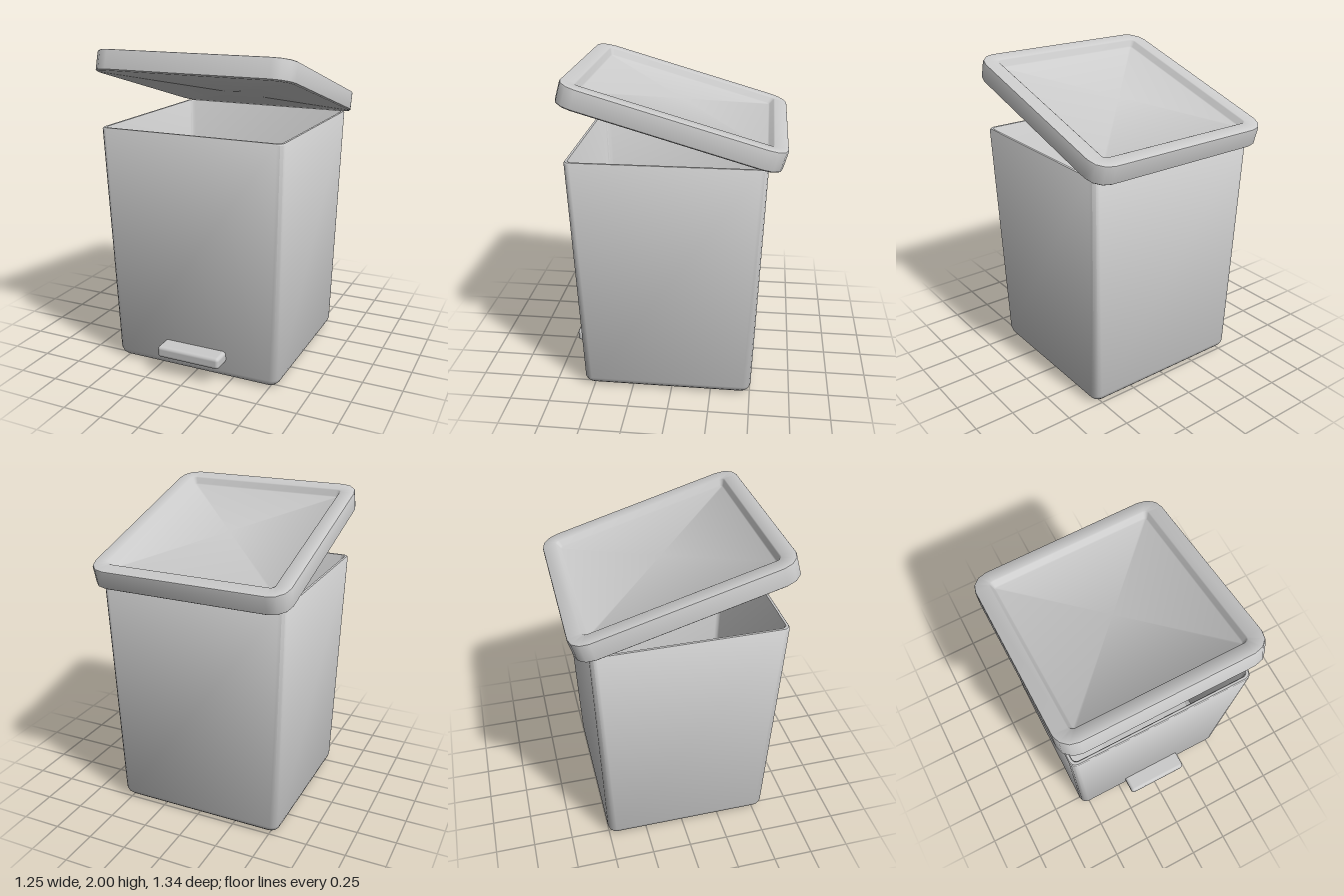
import * as THREE from 'three';
import { toCreasedNormals } from 'three/addons/utils/BufferGeometryUtils.js';
import { RoundedBoxGeometry } from 'three/addons/geometries/RoundedBoxGeometry.js';

const grey = new THREE.MeshStandardMaterial({ color: 0xcccccc });
const CORNER_STEPS = 3;

// Outline of a rounded rectangle at height y: half width, half depth, corner radius
function ring([y, hx, hz, r]) {
  const pts = [];
  const corners = [[1, 1], [-1, 1], [-1, -1], [1, -1]];
  corners.forEach(([sx, sz], q) => {
    for (let i = 0; i <= CORNER_STEPS; i++) {
      const a = (q + i / CORNER_STEPS) * Math.PI / 2;
      pts.push(new THREE.Vector3(
        sx * (hx - r) + r * Math.cos(a), y, sz * (hz - r) + r * Math.sin(a)));
    }
  });
  return pts;
}

// Skin through rounded-rectangle sections, closed to a point at both ends
function loft(sections, crease) {
  const first = sections[0], last = sections[sections.length - 1];
  const rings = [[first[0], 0, 0, 0], ...sections, [last[0], 0, 0, 0]].map(ring);
  const pos = [];
  const tri = (a, b, c) => {
    const area = b.clone().sub(a).cross(c.clone().sub(a)).length();
    if (area > 1e-9) for (const p of [a, b, c]) pos.push(p.x, p.y, p.z);
  };
  for (let i = 0; i < rings.length - 1; i++) {
    const lo = rings[i], hi = rings[i + 1], n = lo.length;
    for (let j = 0; j < n; j++) {
      const k = (j + 1) % n;
      tri(lo[j], hi[j], lo[k]);
      tri(lo[k], hi[j], hi[k]);
    }
  }
  const geo = new THREE.BufferGeometry();
  geo.setAttribute('position', new THREE.Float32BufferAttribute(pos, 3));
  return toCreasedNormals(geo, crease);
}

function add(group, name, geometry, x, y, z) {
  const mesh = new THREE.Mesh(geometry, grey);
  mesh.name = name;
  mesh.position.set(x, y, z);
  group.add(mesh);
  return mesh;
}

export function createModel() {
  const model = new THREE.Group();
  model.name = 'pedalBin';

  // Tapered hollow bin: up the outside, over the rim, down the inside
  add(model, 'binBody', loft([
    [0, 0.505, 0.485, 0.02],
    [0.013, 0.53, 0.51, 0.04],
    [0.03, 0.547, 0.527, 0.05],
    [0.055, 0.555, 0.535, 0.05],
    [1.522, 0.588, 0.588, 0.04],
    [1.53, 0.582, 0.582, 0.036],
    [1.53, 0.568, 0.568, 0.03],
    [1.522, 0.563, 0.563, 0.03],
    [0.06, 0.53, 0.51, 0.03],
    [0.03, 0.5, 0.48, 0.02],
  ], 0.75), 0, 0, 0.03);

  // Lid with a sunken panel, propped open at the front
  const lid = add(model, 'lid', loft([
    [-0.063, 0.618, 0.661, 0.105],
    [-0.055, 0.627, 0.67, 0.112],
    [0.053, 0.627, 0.67, 0.112],
    [0.06, 0.624, 0.667, 0.11],
    [0.063, 0.617, 0.66, 0.105],
    [0.063, 0.536, 0.585, 0.03],
    [0.058, 0.529, 0.578, 0.026],
    [0.025, 0.515, 0.562, 0.018],
    [0.02, 0.508, 0.555, 0.015],
  ], 0.75), 0, 1.755, -0.006);
  lid.rotation.x = -THREE.MathUtils.degToRad(16);

  // Foot pedal
  add(model, 'pedal', new RoundedBoxGeometry(0.422, 0.075, 0.16, 2, 0.022),
    0.008, 0.152, 0.6);

  return model;
}
